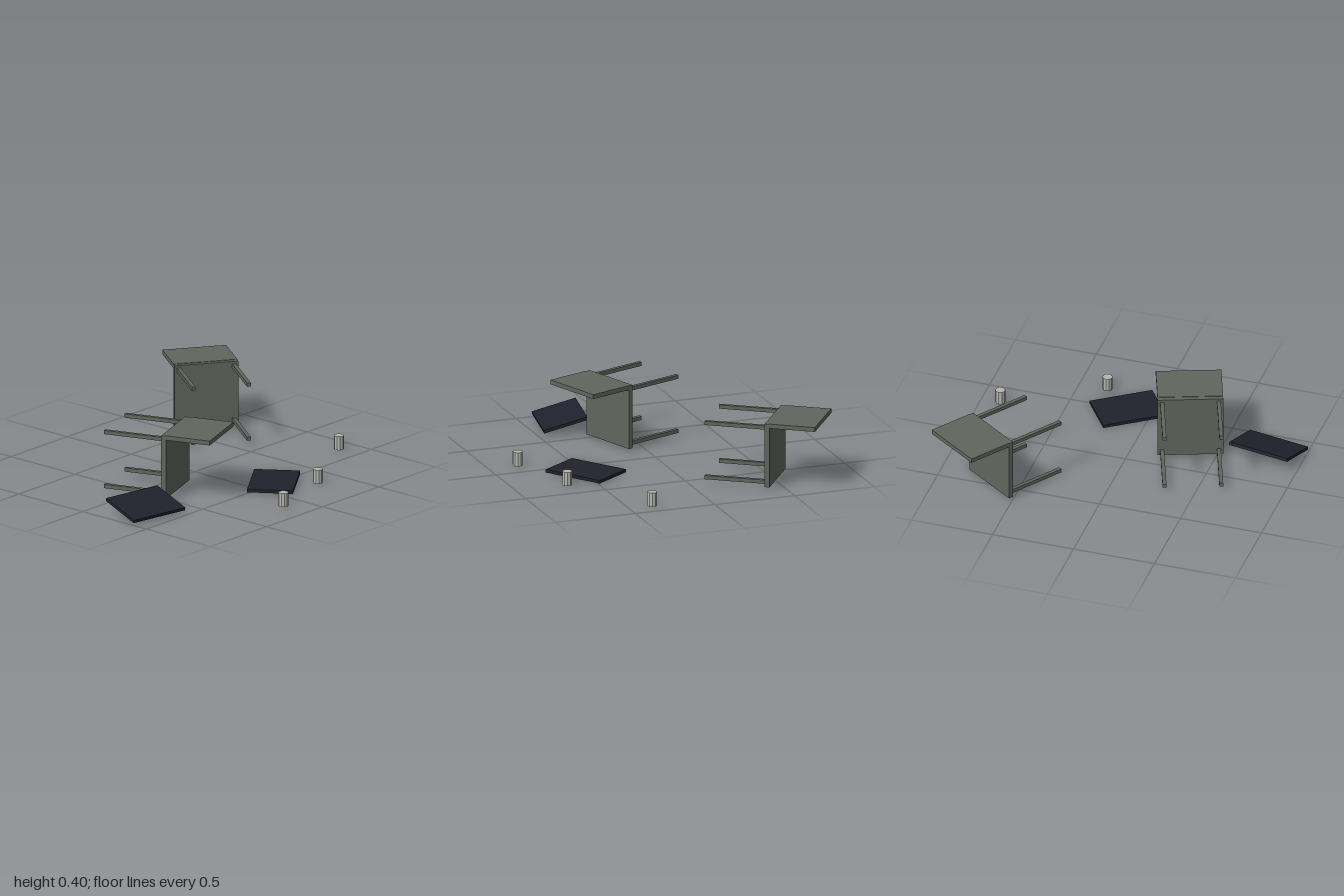
import * as THREE from 'three';

const mat = (name, color, flatShading = false) => {
  const m = new THREE.MeshStandardMaterial({ color, flatShading });
  m.name = name;
  return m;
};

export function createModel() {
  const model = new THREE.Group();
  model.name = 'toppledFurniture';
  const chairGrey = mat('chairGreyGreen', 0x60675d);
  const darkPanel = mat('darkNavy', 0x21212d);
  const canGrey = mat('canGrey', 0xb8b8b1, true);
  const legGrey = chairGrey;

  const add = (parent, name, geometry, material, x, y, z) => {
    const mesh = new THREE.Mesh(geometry, material);
    mesh.name = name;
    mesh.position.set(x, y, z);
    parent.add(mesh);
    return mesh;
  };

  // Chair tipped over: seat upright, backrest flat on top, legs pointing to -z
  const seatGeo = new THREE.BoxGeometry(0.386, 0.388, 0.029);
  const backGeo = new THREE.BoxGeometry(0.386, 0.027, 0.277);
  const legGeo = new THREE.BoxGeometry(0.023, 0.023, 0.368);
  function addChair(name, x, z, degrees) {
    const chair = new THREE.Group();
    chair.name = name;
    chair.position.set(x, 0.207, z);
    chair.rotation.y = THREE.MathUtils.degToRad(degrees);
    add(chair, 'seat', seatGeo, chairGrey, 0, 0, 0.0145);
    add(chair, 'backrest', backGeo, chairGrey, 0, 0.183, 0.167);
    for (const sx of [-1, 1]) {
      for (const sy of [-1, 1]) {
        add(chair, 'leg', legGeo, legGrey, sx * 0.167, sy * 0.167, -0.184);
      }
    }
    model.add(chair);
  }
  addChair('leftChair', -0.356, 0.143, 20);
  addChair('rightChair', 0.66, -0.49, 145);

  // Loose panels: one tilted, one lying flat
  const panelGeo = new THREE.BoxGeometry(0.385, 0.019, 0.272);
  const tilted = add(model, 'tiltedPanel', panelGeo, darkPanel, -0.786, 0.059, 0.305);
  tilted.rotation.set(THREE.MathUtils.degToRad(15), THREE.MathUtils.degToRad(-10), 0, 'YXZ');
  const flat = add(model, 'flatPanel', panelGeo, darkPanel, 0.143, 0.011, 0.49);
  flat.rotation.y = THREE.MathUtils.degToRad(35);

  // Small cans standing on the floor
  const canGeo = new THREE.CylinderGeometry(0.03, 0.03, 0.084, 10);
  for (const [x, z] of [[-0.137, 0.813], [0.327, 0.675], [0.885, 0.35]]) {
    add(model, 'can', canGeo, canGrey, x, 0.042, z);
  }
  return model;
}
